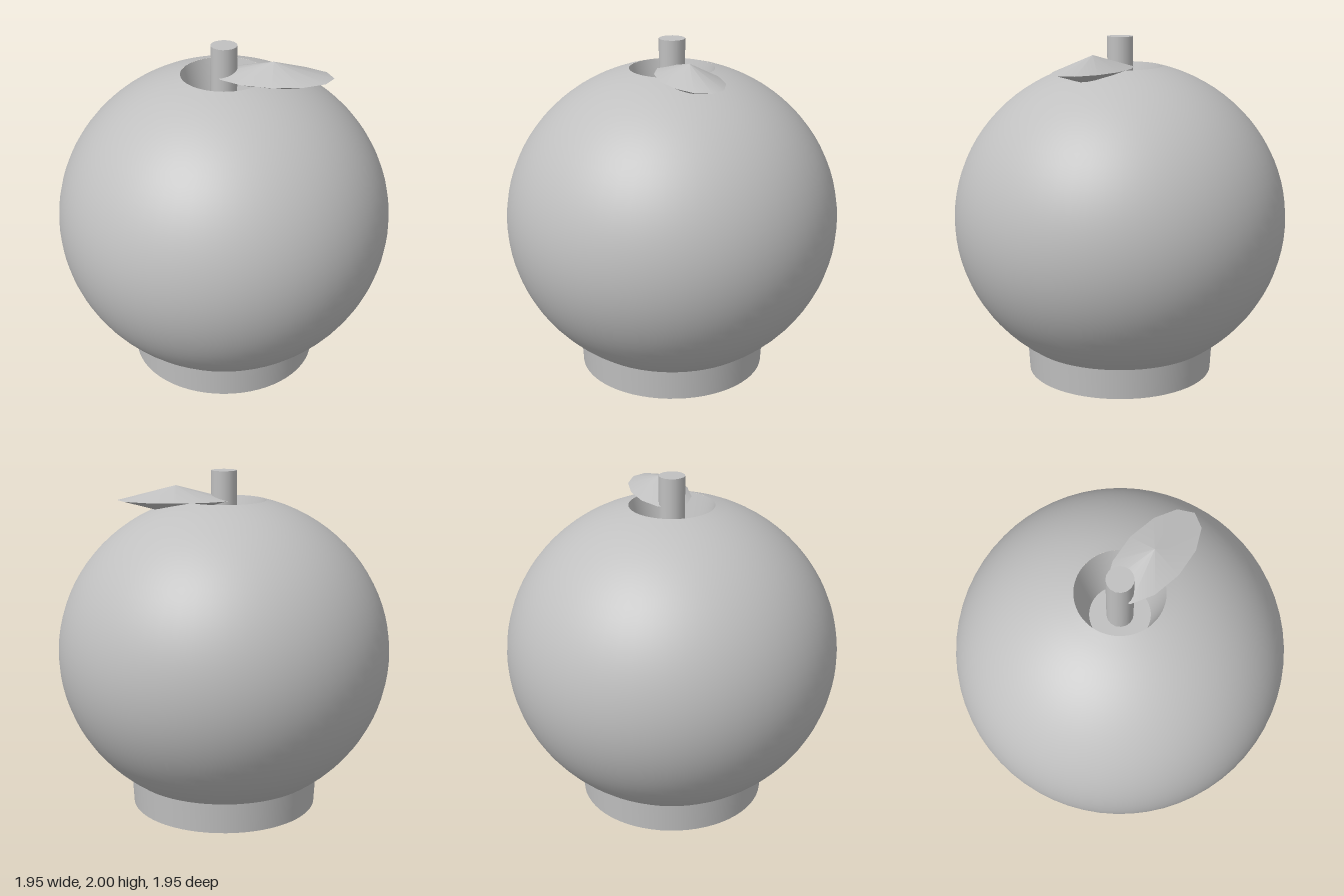
import * as THREE from 'three';

export function createModel() {
  const model = new THREE.Group();
  const grey = new THREE.MeshStandardMaterial({ color: 0xc0c0c0 });
  grey.name = 'light grey';

  const add = (name, geometry, x = 0, y = 0, parent = model) => {
    const mesh = new THREE.Mesh(geometry, grey);
    mesh.name = name;
    mesh.position.set(x, y, 0);
    parent.add(mesh);
    return mesh;
  };
  const lathe = (points) =>
    new THREE.LatheGeometry(points.map(([r, y]) => new THREE.Vector2(r, y)), 64);

  // Slightly squashed round body, cut flat at the base and the top rim
  const radius = 0.975, height = 0.924, centre = 0.936;
  const start = -Math.acos(0.56 / radius), end = Math.acos(0.245 / radius);
  const profile = [];
  for (let i = 0; i <= 32; i++) {
    const a = start + (end - start) * i / 32;
    profile.push([radius * Math.cos(a), centre + height * Math.sin(a)]);
  }
  add('body', lathe(profile));

  // Tapered hollow around the stem
  const rim = 1.83, floor = 1.52;
  add('hollowWall', lathe([[0.245, rim], [0.17, floor]]));
  add('hollowFloor', lathe([[0.17, floor], [0, floor]]));

  // Foot
  add('base', new THREE.CylinderGeometry(0.56, 0.55, 0.18, 64), 0, 0.09);

  // Stem rising from the hollow
  add('stem', new THREE.CylinderGeometry(0.075, 0.075, 2 - floor, 16), 0, (2 + floor) / 2);

  // Leaf: two shallow cones joined at the edge
  const leaf = new THREE.Group();
  leaf.name = 'leaf';
  leaf.position.set(0.278, rim, 0);
  model.add(leaf);
  for (const side of [1, -1]) {
    const cone = new THREE.ConeGeometry(1, 0.085, 12, 1, true);
    cone.translate(0, 0.0425, 0);
    if (side < 0) cone.rotateX(Math.PI);
    cone.scale(0.337, 1, 0.17);
    add(side > 0 ? 'leafTop' : 'leafUnderside', cone, 0, 0, leaf);
  }

  return model;
}
